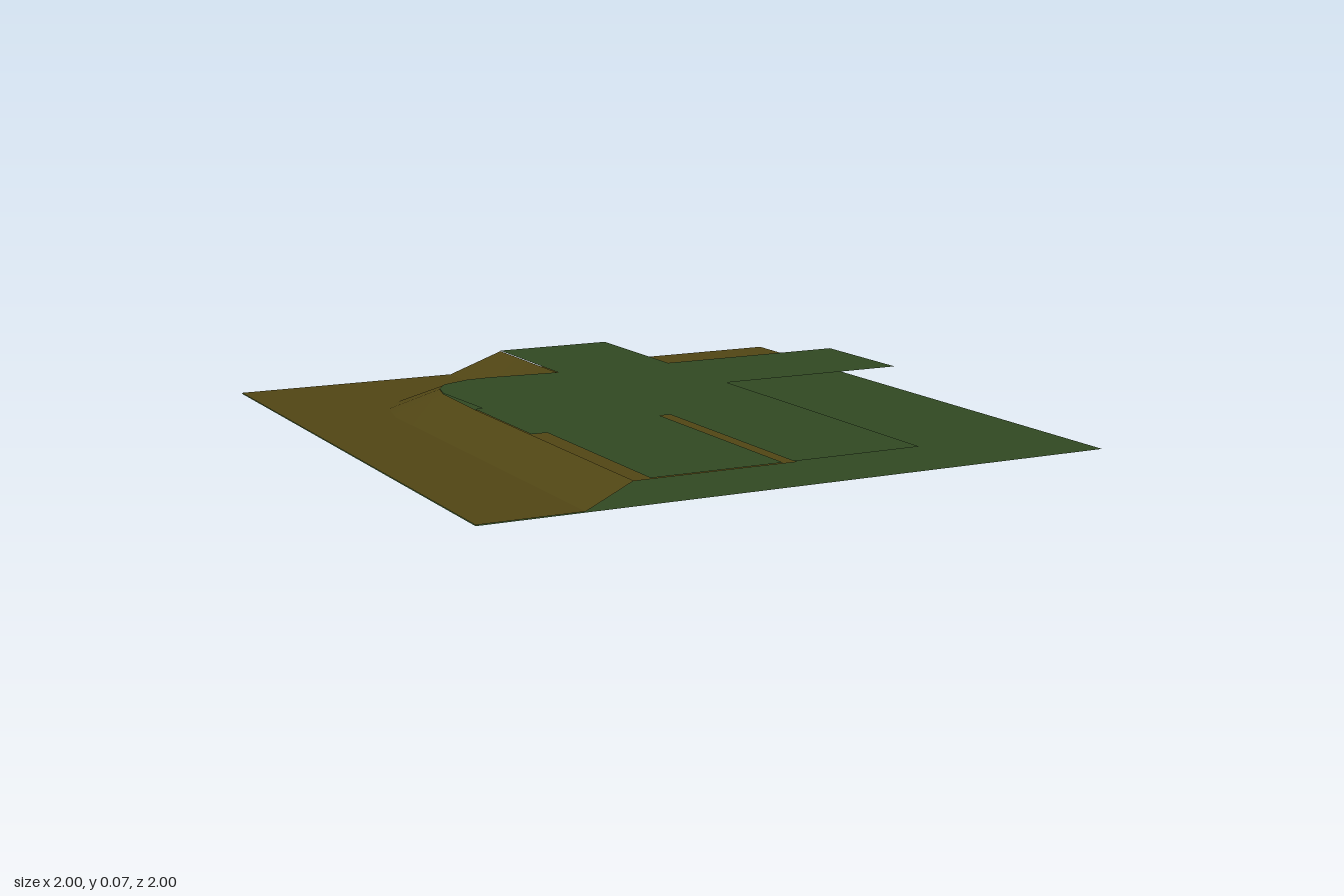
import * as THREE from 'three';

const GREEN = 0x304822, BROWN = 0x504514;
const TOP = 0.072, GROUND = 0.003;

const material = (color) => new THREE.MeshStandardMaterial({ color, side: THREE.DoubleSide });

// Flat horizontal sheet from an outline of [x, z] points.
function sheet(name, outline, y, color) {
  const shape = new THREE.Shape(outline.map(([x, z]) => new THREE.Vector2(x, -z)));
  const mesh = new THREE.Mesh(new THREE.ShapeGeometry(shape).rotateX(-Math.PI / 2), material(color));
  mesh.position.y = y;
  mesh.name = name;
  return mesh;
}

// Sloping bank between an upper edge and a lower edge with matching points.
function bank(name, upper, lower, color) {
  const positions = [], index = [];
  upper.forEach(([x, z], i) => {
    positions.push(x, TOP - 0.002, z, lower[i][0], GROUND, lower[i][1]);
    if (i > 0) {
      const a = 2 * (i - 1);
      index.push(a, a + 2, a + 1, a + 1, a + 2, a + 3);
    }
  });
  const geometry = new THREE.BufferGeometry();
  geometry.setAttribute('position', new THREE.Float32BufferAttribute(positions, 3));
  geometry.setIndex(index);
  geometry.computeVertexNormals();
  const mesh = new THREE.Mesh(geometry, material(color));
  mesh.name = name;
  return mesh;
}

export function createModel() {
  const group = new THREE.Group();
  group.name = 'terrainTile';

  // Crest and toe of the bank, from the front edge round the corner to the back edge
  const crest = [[-0.55, 1], [-0.55, 0.35], [-0.55, -0.07], [-0.54, -0.35], [-0.52, -0.43], [-0.48, -0.49],
    [-0.38, -0.535], [-0.3, -0.54], [-0.06, -0.52], [-0.06, -1]];
  const toe = [[-0.69, 1], [-0.69, 0.35], [-0.69, -0.07], [-0.69, -0.38], [-0.66, -0.52], [-0.59, -0.62],
    [-0.46, -0.69], [-0.36, -0.71], [-0.25, -0.72], [-0.25, -1]];

  // Base and low ground
  group.add(sheet('base', [[-1, -1], [1, -1], [1, 1], [-1, 1]], 0, GREEN));
  group.add(sheet('lowGroundLeft', [[-1, -1], [-1, 1], ...toe], GROUND, BROWN));
  group.add(sheet('lowGroundBack', [[-0.06, -1], [1, -1], [1, -0.67], [-0.06, -0.67]], GROUND, BROWN));

  // Banks rising to the plateau
  group.add(bank('sideBank', crest, toe, BROWN));
  group.add(bank('backBank', [[-0.06, -0.51], [0.35, -0.51], [1, -0.51]],
    [[-0.06, -0.67], [0.35, -0.67], [1, -0.67]], BROWN));

  // Earth layer that shows beside the grass and through its slot
  group.add(sheet('plateauEarth', [[-0.55, 1], [-0.55, -0.07], [-0.05, -0.07], [-0.05, 1]], TOP - 0.003, BROWN));

  // Grass plateau with its back strip, cut-out corner and narrow slot
  group.add(sheet('plateauGrass', [
    [-0.5, 1], [-0.5, 0.35], [-0.55, 0.35], [-0.55, -0.07], [-0.525, -0.07],
    ...crest.slice(3), [0.35, -1], [0.35, -0.51], [1, -0.51], [1, -0.1], [0.35, -0.1],
    [0.35, 1], [-0.06, 1], [-0.06, 0.28], [-0.095, 0.28], [-0.095, 1],
  ], TOP, GREEN));

  return group;
}
